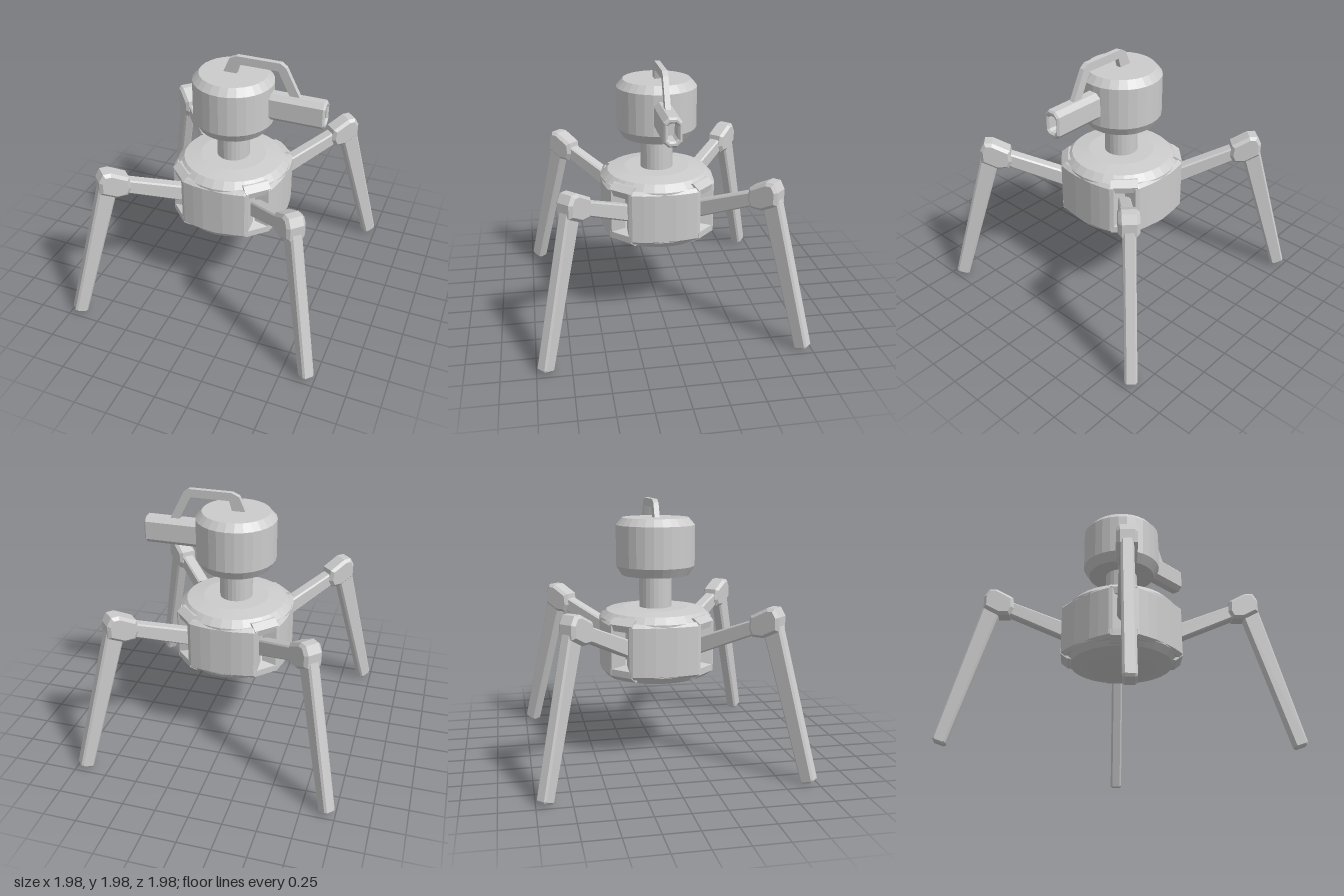
import * as THREE from 'three';

const material = new THREE.MeshStandardMaterial({ color: 0xcccccc, flatShading: true });

function add(parent, name, geometry) {
  const mesh = new THREE.Mesh(geometry, material);
  mesh.name = name;
  parent.add(mesh);
  return mesh;
}

const toShape = (points) => new THREE.Shape(points.map(([x, y]) => new THREE.Vector2(x, y)));

// Slab with chamfered edges, centred on z = 0; the outline keeps its drawn size
function slab(shape, width, bevel) {
  const geometry = new THREE.ExtrudeGeometry(shape, {
    depth: width - 2 * bevel,
    bevelEnabled: bevel > 0,
    bevelThickness: bevel,
    bevelSize: bevel,
    bevelOffset: -bevel,
    bevelSegments: 1,
  });
  return geometry.translate(0, 0, bevel - width / 2);
}

const lathe = (points, sides) =>
  new THREE.LatheGeometry(points.map(([r, y]) => new THREE.Vector2(r, y)), sides);

// Octagonal outline: rectangle with cut corners
function cutRect(w, h, c) {
  return [[-w + c, -h], [w - c, -h], [w, -h + c], [w, h - c],
    [w - c, h], [-w + c, h], [-w, h - c], [-w, -h + c]];
}

function createBody() {
  const body = new THREE.Group();
  body.name = 'body';

  // Drum with a recessed waist that forms the back of the leg pockets
  add(body, 'drum', lathe([
    [0, 0.61], [0.27, 0.61], [0.39, 0.64], [0.43, 0.69], [0.43, 0.75], [0.33, 0.79],
    [0.33, 1.02], [0.43, 1.04], [0.43, 1.09], [0.38, 1.14], [0.25, 1.16], [0, 1.16],
  ], 32));

  const panelOutline = [
    [-0.27, 0.28], [0.27, 0.28], [0.27, 0.385], [0.245, 0.402], [0.16, 0.42],
    [0.08, 0.43], [-0.08, 0.43], [-0.16, 0.42], [-0.245, 0.402], [-0.27, 0.385],
  ];
  const lowerLip = [[0.32, 0.65], [0.41, 0.65], [0.462, 0.69], [0.462, 0.74], [0.32, 0.79]];
  const upperLip = [[0.32, 1.02], [0.45, 1.03], [0.462, 1.08], [0.41, 1.12], [0.32, 1.12]];

  for (let i = 0; i < 4; i++) {
    // Side panels between the legs
    const panel = add(body, 'sidePanel', slab(toShape(panelOutline), 0.42, 0.025));
    panel.geometry.rotateX(Math.PI / 2).translate(0, 0.885, 0);
    panel.rotation.y = i * Math.PI / 2;
    // Sills above and below each leg pocket
    for (const [name, outline] of [['lowerPocketLip', lowerLip], ['upperPocketLip', upperLip]]) {
      add(body, name, slab(toShape(outline), 0.2, 0)).rotation.y = Math.PI / 4 + i * Math.PI / 2;
    }
  }
  return body;
}

// Leg drawn in its own radial plane, pointing along +x
function createLeg() {
  const leg = new THREE.Group();
  leg.name = 'leg';
  add(leg, 'upperLeg', slab(toShape([
    [0.28, 0.78], [0.9, 1.05], [0.9, 1.165], [0.28, 0.92],
  ]), 0.095, 0.012));
  add(leg, 'knee', slab(toShape([
    [0.84, 1.09], [0.87, 1.03], [0.96, 1.03], [1.075, 1.09], [1.075, 1.19],
    [1.04, 1.25], [0.98, 1.25], [0.85, 1.18],
  ]), 0.145, 0.022));
  add(leg, 'lowerLeg', slab(toShape([
    [0.93, 1.12], [1.272, 0.01], [1.29, 0], [1.36, 0.025], [1.37, 0.045], [1.068, 1.15],
  ]), 0.09, 0.014));
  return leg;
}

function createHead() {
  const head = new THREE.Group();
  head.name = 'head';
  add(head, 'neck', new THREE.CylinderGeometry(0.125, 0.125, 0.32, 24)).position.y = 1.28;
  add(head, 'turret', lathe([
    [0, 1.41], [0.26, 1.41], [0.303, 1.48], [0.303, 1.79], [0.255, 1.845], [0, 1.845],
  ], 28));

  // Hollow octagonal barrel along +x with a closed bore
  const barrelShape = toShape(cutRect(0.066, 0.105, 0.035));
  barrelShape.holes.push(toShape(cutRect(0.035, 0.062, 0.016).reverse()));
  const barrel = add(head, 'barrel', slab(barrelShape, 0.5, 0.013));
  barrel.geometry.rotateY(Math.PI / 2);
  barrel.position.set(0.46, 1.635, 0);
  add(head, 'boreEnd', new THREE.BoxGeometry(0.1, 0.15, 0.08)).position.set(0.52, 1.635, 0);

  // Carrying handle from the turret top to the barrel
  add(head, 'handle', slab(toShape([
    [-0.08, 1.83], [0.025, 1.83], [0.05, 1.918], [0.345, 1.918], [0.44, 1.73],
    [0.515, 1.73], [0.402, 1.95], [0.36, 1.98], [0.03, 1.98], [-0.025, 1.955],
  ]), 0.04, 0));
  return head;
}

export function createModel() {
  const model = new THREE.Group();
  model.name = 'walkerTurret';
  model.add(createBody(), createHead());
  for (let i = 0; i < 4; i++) {
    const leg = createLeg();
    leg.rotation.y = Math.PI / 4 + i * Math.PI / 2;
    model.add(leg);
  }
  return model;
}
